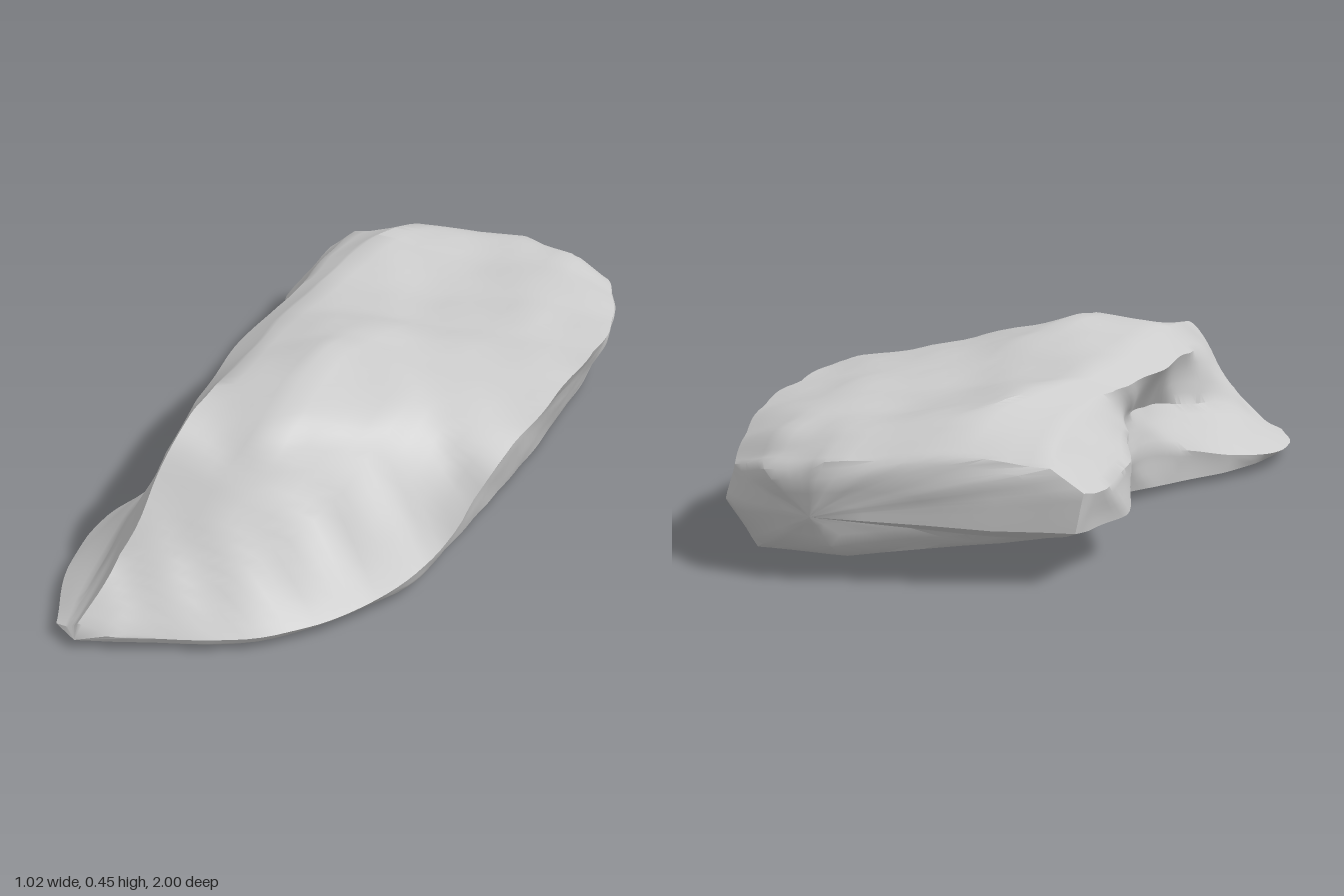
import * as THREE from 'three';
import { toCreasedNormals } from 'three/addons/utils/BufferGeometryUtils.js';

// A rail is a smooth line running along the rock from its back to its front tip.
const rail = (...p) => new THREE.CatmullRomCurve3(p.map(([x, y, z]) => new THREE.Vector3(x, y, z)));

// Hollow left flank: foot, bulge, notch, then the overhanging rim
const leftFoot = rail([-.39, .09, -.73], [-.42, .08, -.62], [-.40, .07, -.44], [-.29, .05, -.22], [-.26, .03, 0],
  [-.30, .02, .2], [-.38, .02, .4], [-.43, .03, .55], [-.39, .02, .8], [-.31, .02, .96]);
const leftBulge = rail([-.49, .12, -.76], [-.49, .105, -.65], [-.48, .105, -.45], [-.36, .13, -.20], [-.29, .13, 0],
  [-.31, .11, .2], [-.39, .07, .4], [-.45, .05, .55], [-.41, .035, .8], [-.32, .03, .97]);
const leftNotch = rail([-.51, .21, -.75], [-.505, .20, -.65], [-.48, .21, -.45], [-.36, .25, -.20], [-.27, .24, 0],
  [-.25, .23, .2], [-.27, .20, .4], [-.31, .16, .6], [-.31, .09, .8], [-.28, .04, .98]);
const leftRim = rail([-.44, .27, -.78], [-.40, .32, -.66], [-.37, .345, -.47], [-.34, .35, -.25], [-.34, .345, 0],
  [-.31, .35, .2], [-.27, .34, .42], [-.24, .29, .62], [-.26, .14, .8], [-.26, .05, .98]);

// Broad top, breaking into the front slope
const topLeft = rail([-.22, .29, -.86], [-.23, .35, -.76], [-.26, .385, -.58], [-.27, .385, -.28], [-.25, .40, 0],
  [-.22, .415, .2], [-.21, .41, .42], [-.20, .385, .59], [-.22, .19, .8], [-.25, .06, .98]);
const topMiddle = rail([.02, .27, -.97], [.03, .325, -.86], [0, .34, -.55], [0, .37, -.24], [-.01, .43, 0],
  [-.03, .45, .17], [0, .41, .45], [-.02, .32, .59], [-.10, .165, .78], [-.20, .05, .97]);
const topRight = rail([.20, .25, -.95], [.20, .31, -.85], [.26, .335, -.55], [.26, .355, -.28], [.23, .38, -.02],
  [.22, .39, .16], [.22, .355, .31], [.16, .23, .52], [.01, .12, .77], [-.18, .04, .97]);

// Undercut right flank
const rightRim = rail([.31, .23, -.91], [.37, .27, -.78], [.46, .30, -.55], [.495, .33, -.28], [.50, .335, -.02],
  [.465, .27, .22], [.405, .11, .38], [.31, .045, .58], [.14, .035, .8], [-.14, .035, .95]);
const rightHollow = rail([.33, .14, -.91], [.37, .14, -.78], [.41, .16, -.55], [.41, .19, -.28], [.40, .20, 0],
  [.395, .14, .2], [.375, .05, .39], [.29, .025, .58], [.13, .02, .8], [-.15, .02, .95]);
const rightFoot = rail([.25, .04, -.91], [.32, .02, -.77], [.34, .01, -.55], [.35, 0, -.28], [.35, 0, -.02],
  [.35, .01, .2], [.345, .015, .39], [.26, .01, .58], [.11, .01, .8], [-.18, .01, .94]);

// Flat underside
const underside = rail([0, .05, -.92], [0, .03, -.74], [0, .02, -.51], [.04, .01, -.26], [.06, 0, -.01],
  [.05, 0, .2], [0, 0, .4], [-.08, 0, .6], [-.14, 0, .8], [-.23, .01, .95]);

const RAILS = [leftFoot, leftBulge, leftNotch, leftRim, topLeft, topMiddle, topRight,
  rightRim, rightHollow, rightFoot, underside];
const STEPS = 72, SPLIT = 5;

// Weathering: soft dents plus small chips, weaker on the underside
function weather(p) {
  const { x, y, z } = p;
  const dent = Math.sin(9 * x + 5 * z + 7 * y) * Math.sin(8 * z - 6 * x + 1.3);
  const chip = Math.abs(Math.sin(16 * x - 9 * z + 9 * y)) * Math.abs(Math.sin(11 * z + 21 * y + 7 * x)) - 0.4;
  const amount = THREE.MathUtils.smoothstep(y, 0.02, 0.12);
  p.y = Math.max(0, y + (dent * 0.004 + chip * 0.006) * amount);
  p.x += chip * 0.01 * (0.5 + 0.5 * amount);
  return p;
}

function rockGeometry() {
  const n = RAILS.length * SPLIT;
  const rings = [];
  // Cross-sections
  for (let i = 0; i <= STEPS; i++) {
    const corners = RAILS.map((r) => r.getPoint(i / STEPS));
    rings.push(corners.flatMap((c, k) => Array.from({ length: SPLIT },
      (_, s) => weather(c.clone().lerp(corners[(k + 1) % corners.length], s / SPLIT)))));
  }
  // Rounded, broken back wall closing in on its middle
  const middle = new THREE.Vector3(0.05, 0.15, -0.995);
  const rim = rings[0];
  for (const t of [0.12, 0.3, 0.55, 0.8]) {
    rings.unshift(rim.map((p) => {
      const q = p.clone().lerp(middle, t);
      q.z -= 0.03 * Math.sin(Math.PI * t) * (1 - t) + 0.008 * Math.sin(21 * q.x + 17 * q.y) * (1 - t);
      return q;
    }));
  }
  const points = rings.flat(), index = [];
  // Skin between the rings
  for (let i = 0; i < rings.length - 1; i++) {
    for (let j = 0; j < n; j++) {
      const a = i * n + j, c = i * n + (j + 1) % n;
      index.push(a, a + n, c, a + n, c + n, c);
    }
  }
  // Closing fans at the back and at the front tip
  const last = points.length - n;
  const back = points.push(middle) - 1;
  const tip = points.push(new THREE.Vector3(-0.25, 0.025, 1)) - 1;
  for (let j = 0; j < n; j++) {
    const k = (j + 1) % n;
    index.push(back, j, k, tip, last + k, last + j);
  }
  const geometry = new THREE.BufferGeometry().setFromPoints(points);
  geometry.setIndex(index);
  return toCreasedNormals(geometry, 0.7);
}

export function createModel() {
  const group = new THREE.Group();
  group.name = 'rock';
  const slab = new THREE.Mesh(rockGeometry(), new THREE.MeshStandardMaterial({ color: 0xcccccc }));
  slab.name = 'rockSlab';
  group.add(slab);
  return group;
}
